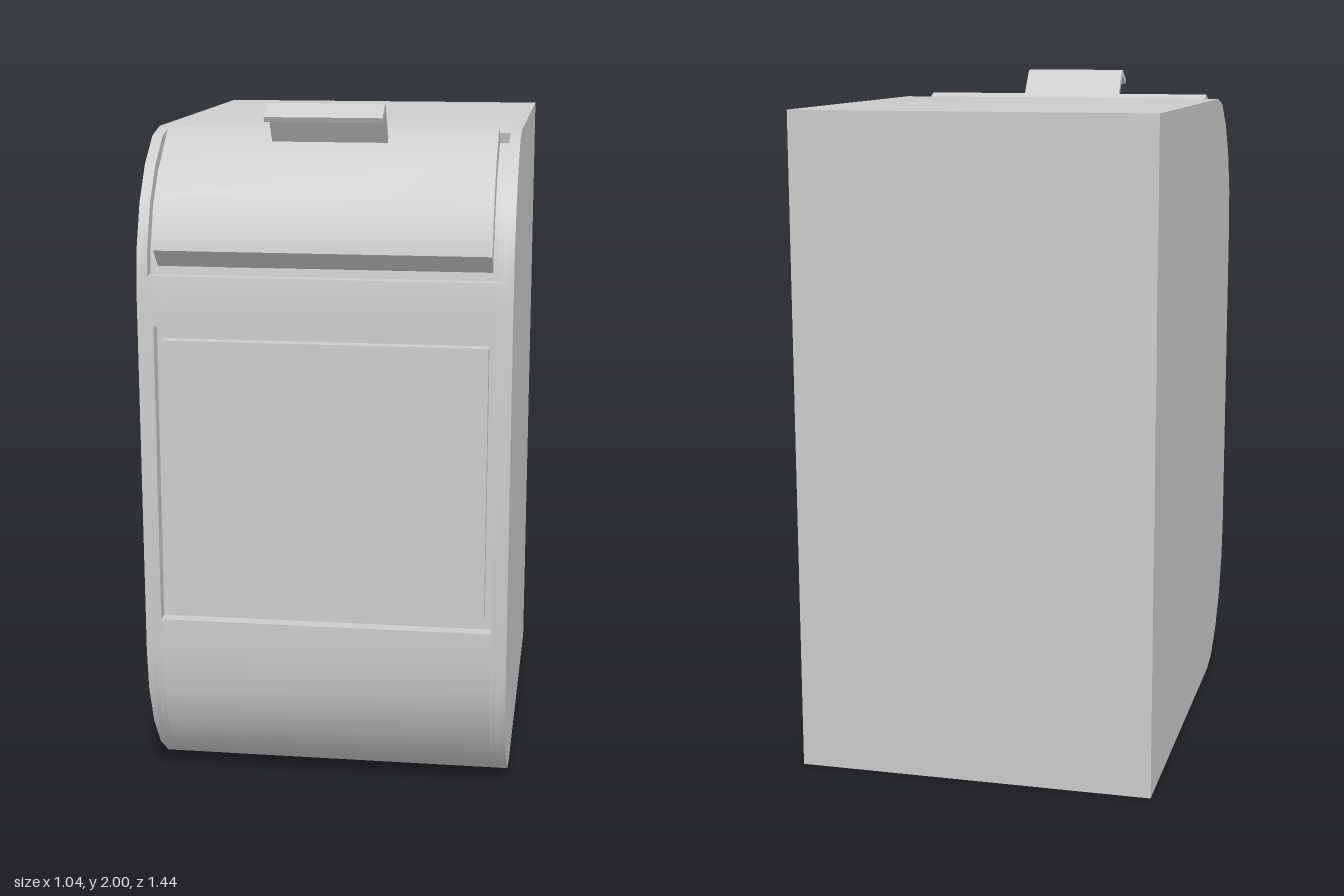
import * as THREE from 'three';
import { toCreasedNormals } from 'three/addons/utils/BufferGeometryUtils.js';

const material = new THREE.MeshStandardMaterial({ color: 0xcccccc });

// Extrude a side profile of [z, y] points across the width from x0 to x1
function slab(name, points, x0, x1) {
  const shape = new THREE.Shape(points.map(([z, y]) => new THREE.Vector2(z, y)));
  const geo = new THREE.ExtrudeGeometry(shape, { depth: x1 - x0, bevelEnabled: false });
  geo.rotateY(-Math.PI / 2);
  geo.translate(x1, 0, 0);
  const mesh = new THREE.Mesh(toCreasedNormals(geo, 0.5), material);
  mesh.name = name;
  return mesh;
}

const HEIGHT = 1.915;
const SIDE = 0.52, FLAP_RECESS = 0.49, PANEL_RECESS = 0.475;

// Rounded front corner, from the top face down to the flat front
const corner = [[0.38, 1.915], [0.47, 1.895], [0.565, 1.825], [0.638, 1.727], [0.686, 1.603], [0.7, 1.48]];
// The same corner with the shallow recess that holds the flap
const recessedCorner = [
  [0.38, 1.915], [0.41, 1.908], [0.403, 1.88], [0.455, 1.867], [0.54, 1.8],
  [0.605, 1.715], [0.648, 1.597], [0.656, 1.53], [0.694, 1.53], [0.7, 1.48],
];
const panelNotch = [[0.7, 1.39], [0.66, 1.39], [0.66, 0.53], [0.7, 0.53]];

function bodyProfile(top, notch) {
  const bottom = corner.map(([z, y]) => [z, HEIGHT - y]).reverse();
  return [[-0.72, 0], [-0.72, HEIGHT], ...top, ...notch, ...bottom].reverse();
}

export function createModel() {
  const model = new THREE.Group();
  model.name = 'flapBin';

  // Body: full-profile sides, stepped inwards to form the recesses
  const body = new THREE.Group();
  body.name = 'body';
  for (const s of [-1, 1]) {
    const band = (name, points, a, b) =>
      body.add(slab(name, points, Math.min(s * a, s * b), Math.max(s * a, s * b)));
    band('sideWall', bodyProfile(corner, []), FLAP_RECESS, SIDE);
    band('innerSide', bodyProfile(recessedCorner, []), PANEL_RECESS, FLAP_RECESS);
  }
  body.add(slab('core', bodyProfile(recessedCorner, panelNotch), -PANEL_RECESS, PANEL_RECESS));
  model.add(body);

  // Front panel, set inside a narrow groove
  const panel = new THREE.Mesh(new THREE.BoxGeometry(0.91, 0.78, 0.05), material);
  panel.position.set(0, 0.96, 0.672);
  panel.name = 'frontPanel';
  model.add(panel);

  // Curved flap standing slightly proud of the body
  const flap = [
    [0.415, 1.89], [0.48, 1.925], [0.515, 1.916], [0.594, 1.852], [0.668, 1.751], [0.714, 1.635],
    [0.72, 1.605], [0.67, 1.555], [0.656, 1.61], [0.61, 1.72], [0.55, 1.8], [0.46, 1.868],
  ];
  model.add(slab('flap', flap.reverse(), -0.465, 0.462));

  // Bent handle on the flap
  const handle = [
    [0.53, 1.9], [0.601, 1.993], [0.617, 2], [0.675, 1.966],
    [0.667, 1.952], [0.613, 1.982], [0.547, 1.888],
  ];
  model.add(slab('handle', handle.reverse(), -0.162, 0.16));

  return model;
}
